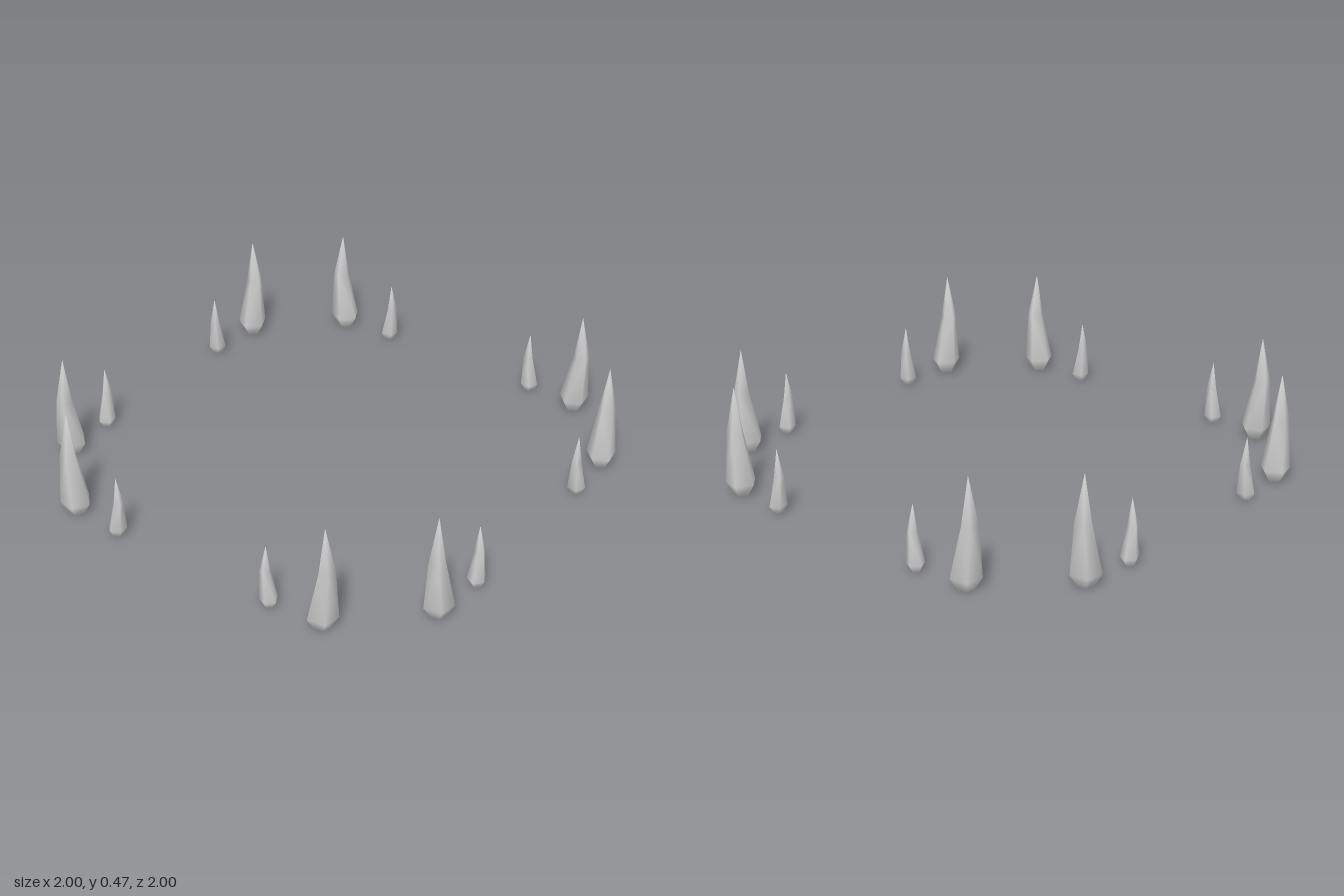
import * as THREE from 'three';

const SIDES = 5;
// rings of a spike: [height, radius, lean along local x]
const RINGS = [[0, 0.032, 0], [0.055, 0.065, 0], [0.27, 0.035, 0.022]];
const TIP = [0.468, 0.015];

// five-sided leaning spike; flipX, flipZ and swap mirror it into its place on the square
function spikeGeometry(x, z, size, turn, flipX, flipZ, swap) {
  const pos = [], index = [];
  const put = (dx, y, dz) => {
    let px = x + dx * size * Math.cos(turn), pz = z + dz * size * Math.cos(turn);
    if (swap) [px, pz] = [-pz, -px];
    pos.push(px * flipX, y * size, pz * flipZ);
  };
  for (const [y, r, lean] of RINGS) {
    for (let i = 0; i < SIDES; i++) {
      const a = THREE.MathUtils.degToRad(28 + i * 360 / SIDES);
      put(lean + r * Math.cos(a), y, r * Math.sin(a));
    }
  }
  put(TIP[1], TIP[0], 0);
  put(0, 0, 0);
  const tip = SIDES * RINGS.length, foot = tip + 1;
  const mirrored = flipX * flipZ * (swap ? -1 : 1) < 0;
  const face = (a, b, c) => index.push(a, ...(mirrored ? [c, b] : [b, c]));
  for (let i = 0; i < SIDES; i++) {
    const j = (i + 1) % SIDES;
    for (let k = 0; k < RINGS.length - 1; k++) {
      const a = k * SIDES + i, b = k * SIDES + j;
      face(a, a + SIDES, b);
      face(b, a + SIDES, b + SIDES);
    }
    const top = (RINGS.length - 1) * SIDES;
    face(top + i, tip, top + j);
    face(foot, i, j);
  }
  const geo = new THREE.BufferGeometry();
  geo.setAttribute('position', new THREE.Float32BufferAttribute(pos, 3));
  geo.setIndex(index);
  geo.computeVertexNormals();
  return geo;
}

export function createModel() {
  const group = new THREE.Group();
  group.name = 'spikeRing';
  const mat = new THREE.MeshStandardMaterial({ color: 0xcccccc });
  const add = (name, ...args) => {
    const mesh = new THREE.Mesh(spikeGeometry(...args), mat);
    mesh.name = name;
    group.add(mesh);
  };
  // one large and one small spike, mirrored into all eight places
  for (const swap of [false, true]) {
    for (const fx of [1, -1]) {
      for (const fz of [1, -1]) {
        add('largeSpike', 0.625, -0.94, 1, 0, fx, fz, swap);
        add('smallSpike', 0.385, -0.96, 0.6, Math.PI, fx, fz, swap);
      }
    }
  }
  return group;
}
